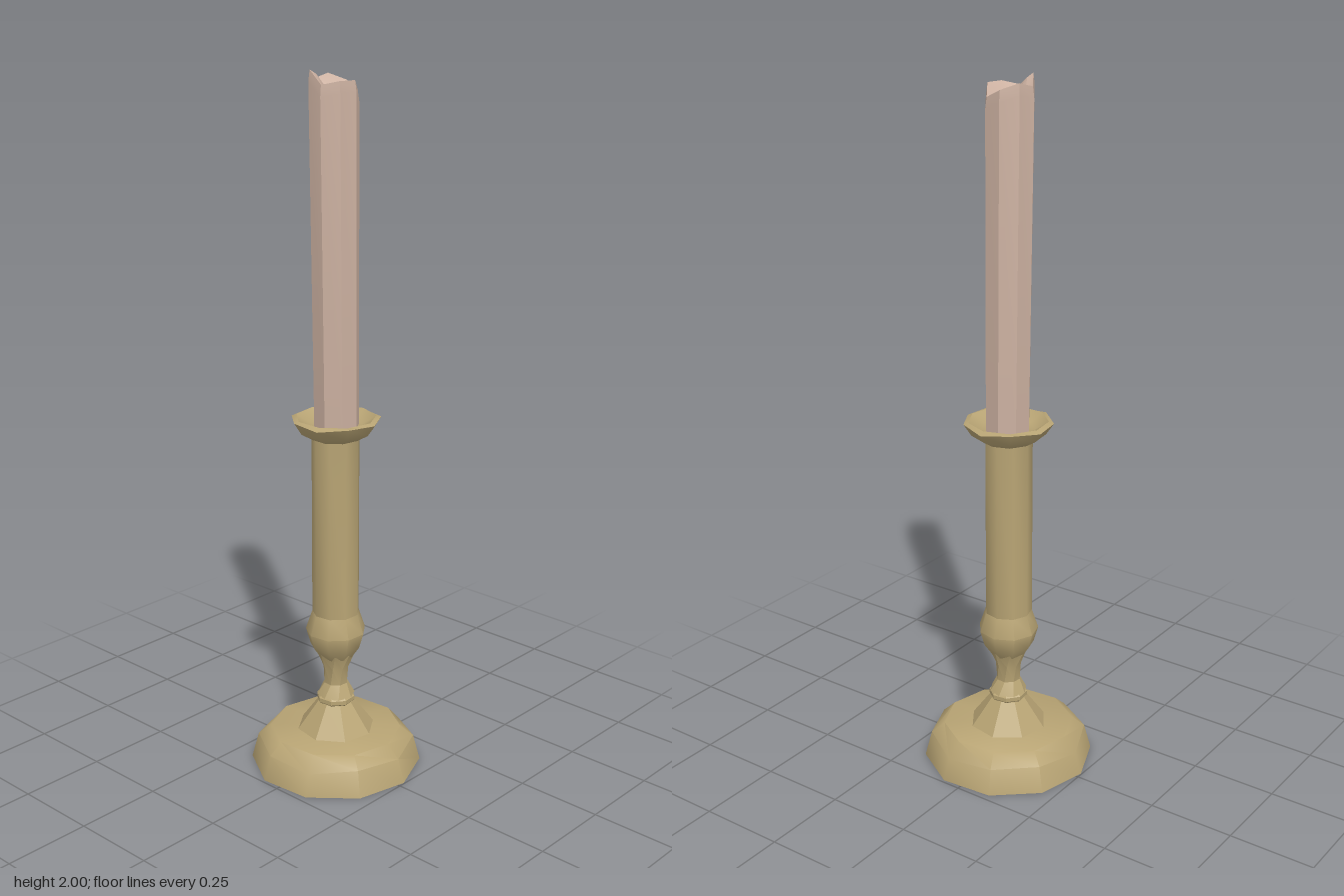
import * as THREE from 'three';
import { toCreasedNormals } from 'three/addons/utils/BufferGeometryUtils.js';

export function createModel() {
  const group = new THREE.Group();
  const brass = new THREE.MeshStandardMaterial({ color: 0xb8a474 });
  brass.name = 'brass';
  const wax = new THREE.MeshStandardMaterial({ color: 0xcbb0a0 });
  wax.name = 'wax';

  // Turned part from [radius, height] pairs; move(v, ring side, point index) shifts corners
  function turned(name, profile, sides, phase, crease, material, move) {
    const points = profile.map(([r, y]) => new THREE.Vector2(r, y));
    const geometry = new THREE.LatheGeometry(points, sides, phase);
    const pos = geometry.attributes.position;
    const v = new THREE.Vector3();
    if (move) {
      for (let k = 0; k < pos.count; k++) {
        v.fromBufferAttribute(pos, k);
        move(v, Math.floor(k / profile.length) % sides, k % profile.length);
        pos.setXYZ(k, v.x, v.y, v.z);
      }
    }
    const mesh = new THREE.Mesh(toCreasedNormals(geometry.toNonIndexed(), crease), material);
    mesh.name = name;
    group.add(mesh);
  }

  // Round foot with an uneven hand-cut shoulder
  turned('foot', [[0, 0], [0.248, 0], [0.228, 0.07], [0.19, 0.106], [0, 0.11]], 10, 0.08, 0.75, brass,
    (v, side, j) => { if (j === 2) v.y += 0.008 * Math.sin(side * 2.2); });

  // Faceted cone above the foot
  turned('pedestal', [[0.115, 0.105], [0.052, 0.192], [0, 0.192]], 8, 0.2, 0.3, brass);

  // Collar ring
  turned('collar', [[0.045, 0.185], [0.056, 0.196], [0.056, 0.208], [0.044, 0.22], [0, 0.22]],
    8, 0.5, 0.5, brass);

  // Twisted narrow neck opening into the rounded knob
  turned('neck', [[0.055, 0.212], [0.035, 0.25], [0.037, 0.3], [0.058, 0.35]], 8, 0.1, 0.5, brass,
    (v, side, j) => v.applyAxisAngle(new THREE.Vector3(0, 1, 0), j * 0.2));
  turned('knob', [[0.05, 0.335], [0.074, 0.37], [0.087, 0.415], [0.067, 0.475]], 9, 0.3, 0.75, brass);

  // Straight stem
  turned('stem', [[0.068, 0.465], [0.068, 1.005]], 9, 0.3, 0.75, brass);

  // Drip dish
  turned('dripDish', [[0.055, 0.995], [0.072, 1.0], [0.105, 1.02], [0.127, 1.052],
    [0.113, 1.058], [0.075, 1.034], [0, 1.03]], 9, 0.15, 0.75, brass,
    (v, side, j) => { if (j === 3) v.y += 0.004 * Math.sin(side * 2.5); });

  // Slightly leaning candle with a melted, wavy rim and a hollow top
  const rim = [1.975, 1.945, 1.968, 1.985, 1.972, 2.0, 1.965, 1.975];
  turned('candle', [[0.064, 1.0], [0.068, 1.94], [0.064, 1.97], [0.046, 1.97], [0, 1.925]],
    8, 0.2, 0.5, wax, (v, side, j) => {
      if (j === 2) v.y = rim[side];
      if (j === 3) v.y = rim[side] - 0.012;
      if (j === 1) v.y = rim[side] - 0.03;
      v.x += 0.004 - 0.012 * (v.y - 1);
    });

  return group;
}
